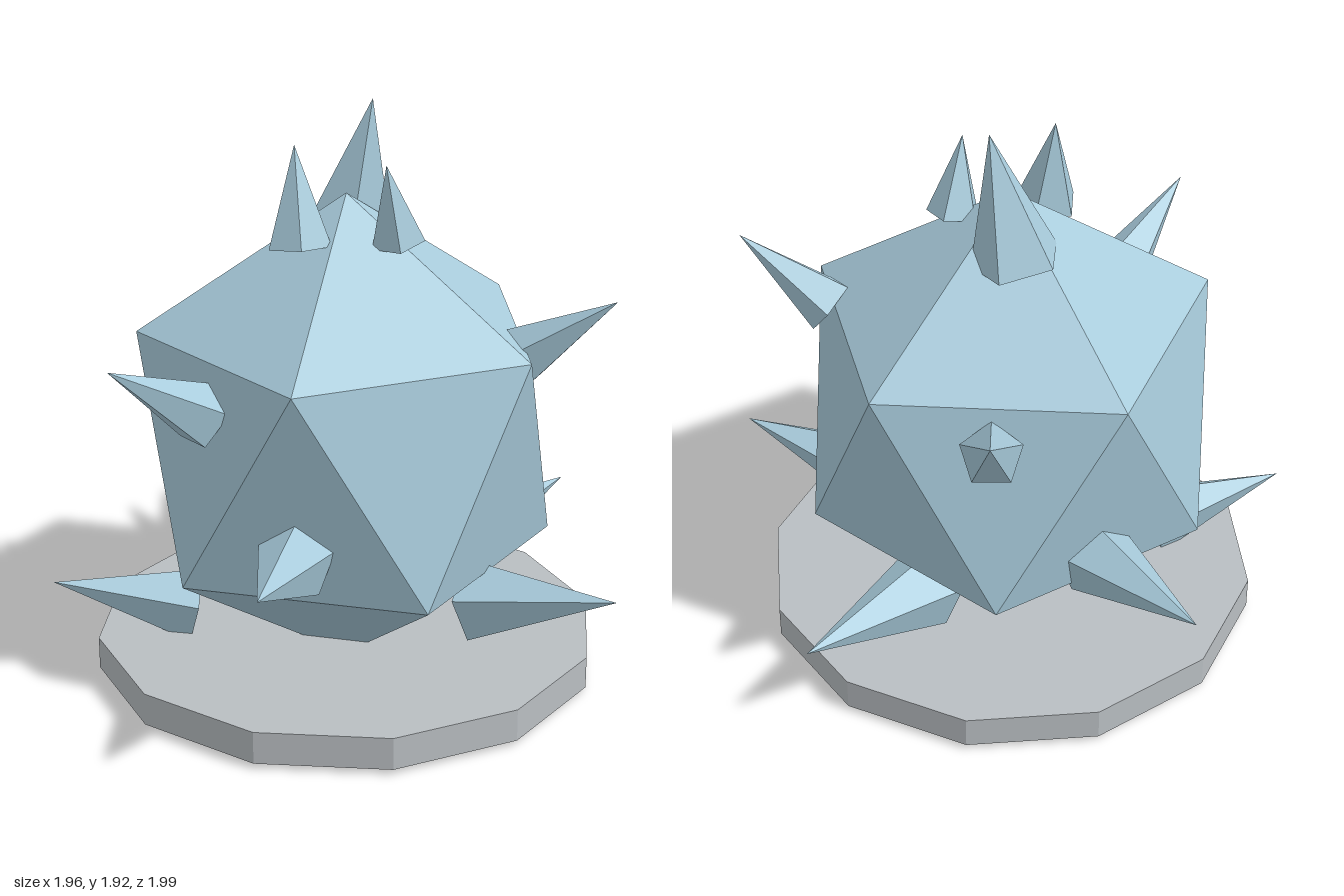
import * as THREE from 'three';
import { ConvexGeometry } from 'three/addons/geometries/ConvexGeometry.js';

export function createModel() {
  const model = new THREE.Group();
  const paleBlue = new THREE.MeshStandardMaterial({ color: 0xa8cbdb, flatShading: true });
  paleBlue.name = 'pale blue';
  const stoneGrey = new THREE.MeshStandardMaterial({ color: 0xb9bec2, flatShading: true });
  stoneGrey.name = 'stone grey';
  const cx = -0.04, cz = 0.03;

  // Twelve-sided base disc
  const base = new THREE.Mesh(new THREE.CylinderGeometry(0.845, 0.845, 0.11, 12), stoneGrey);
  base.name = 'baseDisc';
  base.position.set(cx, 0.075, cz);
  model.add(base);

  // Icosahedral body standing on one point: two poles and two staggered rings
  const points = [new THREE.Vector3(cx, 1.64, cz), new THREE.Vector3(cx, 0.003, cz)];
  for (let i = 0; i < 5; i++) {
    for (const [y, offset] of [[1.188, 0], [0.455, 0.5]]) {
      const a = (i + offset) * Math.PI * 2 / 5;
      points.push(new THREE.Vector3(cx + 0.683 * Math.cos(a), y, cz + 0.683 * Math.sin(a)));
    }
  }
  const body = new THREE.Mesh(new ConvexGeometry(points), paleBlue);
  body.name = 'body';
  model.add(body);

  // Five-sided spike from a base centre to a tip, one base corner turned towards "up"
  function addSpike(name, centre, tip, radius, up) {
    const from = new THREE.Vector3(...centre);
    const axis = new THREE.Vector3(...tip).sub(from);
    const length = axis.length();
    axis.normalize();
    const corner = up.clone().addScaledVector(axis, -up.dot(axis)).normalize();
    const side = new THREE.Vector3().crossVectors(axis, corner);
    const spike = new THREE.Mesh(new THREE.ConeGeometry(radius, length, 5), paleBlue);
    spike.name = name;
    spike.quaternion.setFromRotationMatrix(new THREE.Matrix4().makeBasis(side, axis, corner));
    spike.position.copy(from).addScaledVector(axis, length / 2);
    model.add(spike);
  }

  // Spikes around the sides: base centre, tip, radius
  const sideSpikes = [
    [[-0.62, 1.02, 0.03], [-0.98, 1.25, 0.03], 0.11],
    [[-0.52, 0.61, 0.36], [-0.90, 0.69, 0.65], 0.13],
    [[-0.45, 0.20, -0.28], [-0.84, 0.30, -0.55], 0.13],
    [[0.47, 1.06, -0.32], [0.70, 1.31, -0.51], 0.105],
    [[0.28, 1.15, 0.53], [0.41, 1.375, 0.81], 0.10],
    [[0.10, 0.34, 0.51], [0.27, 0.45, 0.99], 0.14],
    [[0.38, 0.275, 0.03], [0.98, 0.38, 0.03], 0.145],
    [[0.14, 0.53, -0.46], [0.29, 0.62, -1.0], 0.14],
  ];
  const worldUp = new THREE.Vector3(0, 1, 0);
  sideSpikes.forEach(([c, t, r], i) => addSpike('sideSpike' + (i + 1), c, t, r, worldUp));

  // Upright spikes on the crown
  const topSpikes = [
    [[0.068, 1.48, -0.09], [0.10, 1.92, -0.005], 0.15],
    [[-0.24, 1.50, 0.04], [-0.22, 1.82, -0.01], 0.105],
    [[0.018, 1.51, 0.215], [-0.04, 1.77, 0.225], 0.09],
  ];
  const back = new THREE.Vector3(0, 0, -1);
  topSpikes.forEach(([c, t, r], i) => addSpike('topSpike' + (i + 1), c, t, r, back));

  return model;
}
